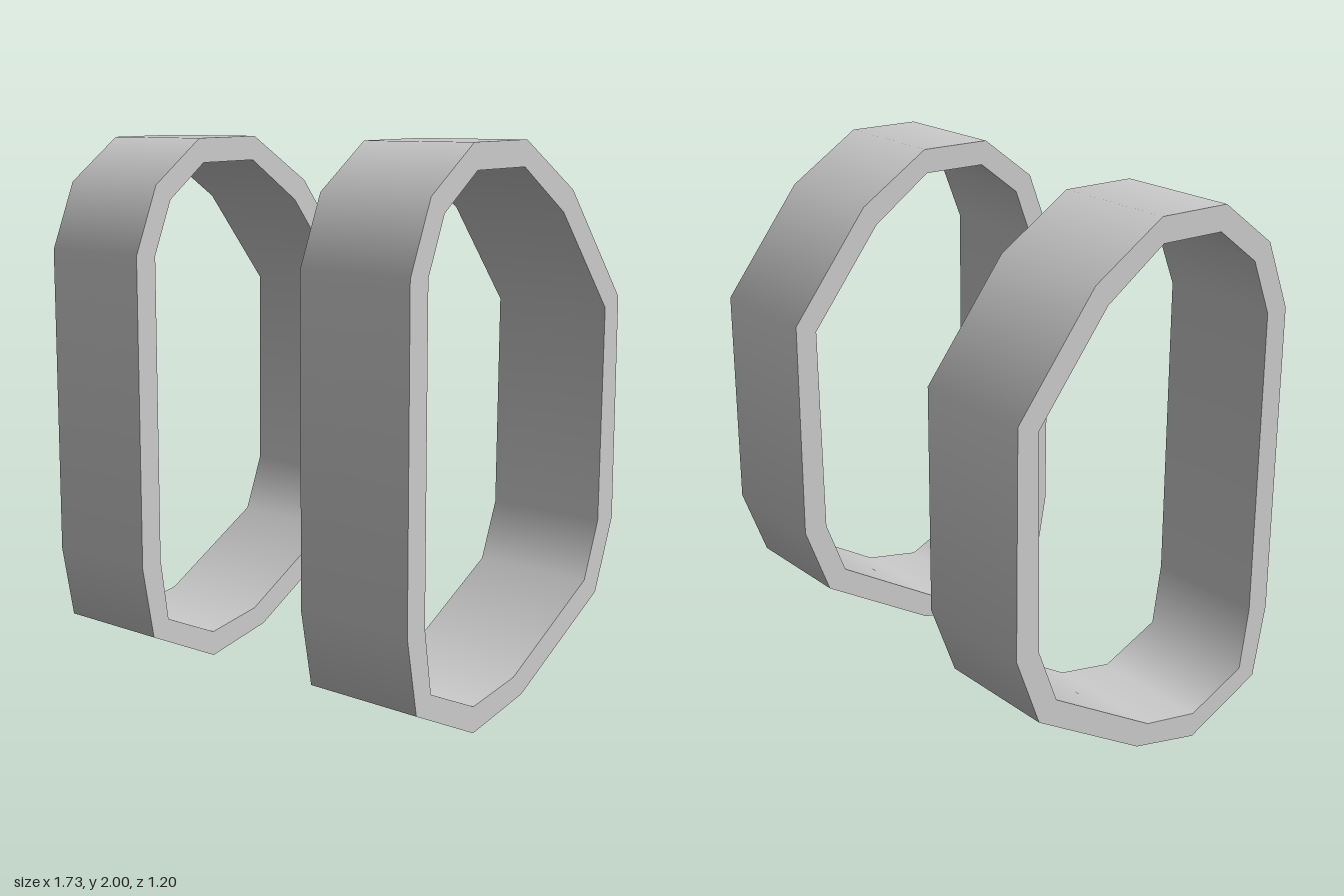
import * as THREE from 'three';

// Side profile of the band as [z, y] corners
const OUTER = [
  [0.28, 1.995], [-0.01, 2], [-0.29, 1.825], [-0.6, 1.43], [-0.6, 0.605], [-0.5, 0.34],
  [-0.04, 0.065], [0.24, 0], [0.55, 0.145], [0.6, 0.42], [0.6, 1.58], [0.5, 1.83],
];
const INNER = [
  [0.26, 1.905], [0, 1.91], [-0.235, 1.75], [-0.515, 1.395], [-0.505, 0.61], [-0.425, 0.4],
  [0.01, 0.14], [0.24, 0.095], [0.475, 0.2], [0.51, 0.435], [0.51, 1.575], [0.43, 1.775],
];
const WIDTH = 0.465;
const CENTRE_X = 0.632;

// Shape x becomes -z once the extrusion is turned to run along x
const toPoints = (profile) => profile.map(([z, y]) => new THREE.Vector2(-z, y));

// Average the wall normals along each profile corner; the flat rims stay sharp
function smoothWalls(geometry) {
  const { position, normal } = geometry.attributes;
  const sums = new Map();
  const walls = [];
  for (let i = 0; i < position.count; i++) {
    const n = new THREE.Vector3().fromBufferAttribute(normal, i);
    if (Math.abs(n.z) > 0.5) continue;
    const key = `${position.getX(i).toFixed(4)},${position.getY(i).toFixed(4)}`;
    if (!sums.has(key)) sums.set(key, new THREE.Vector3());
    sums.get(key).add(n);
    walls.push([i, key]);
  }
  for (const sum of sums.values()) sum.normalize();
  for (const [i, key] of walls) normal.setXYZ(i, ...sums.get(key));
}

function bandGeometry() {
  const shape = new THREE.Shape(toPoints(OUTER));
  // The hole winds opposite to the outline so its walls face inward
  shape.holes.push(new THREE.Path(toPoints(INNER).reverse()));
  const geometry = new THREE.ExtrudeGeometry(shape, { depth: WIDTH, bevelEnabled: false });
  smoothWalls(geometry);
  geometry.translate(0, 0, -WIDTH / 2);
  geometry.rotateY(Math.PI / 2);
  return geometry;
}

export function createModel() {
  const group = new THREE.Group();
  group.name = 'strapPair';
  const geometry = bandGeometry();
  const material = new THREE.MeshStandardMaterial({ color: 0xcccccc });

  // One closed strap loop on each side
  for (const [name, side] of [['leftStrap', 1], ['rightStrap', -1]]) {
    const strap = new THREE.Mesh(geometry, material);
    strap.name = name;
    strap.position.x = side * CENTRE_X;
    group.add(strap);
  }
  return group;
}
